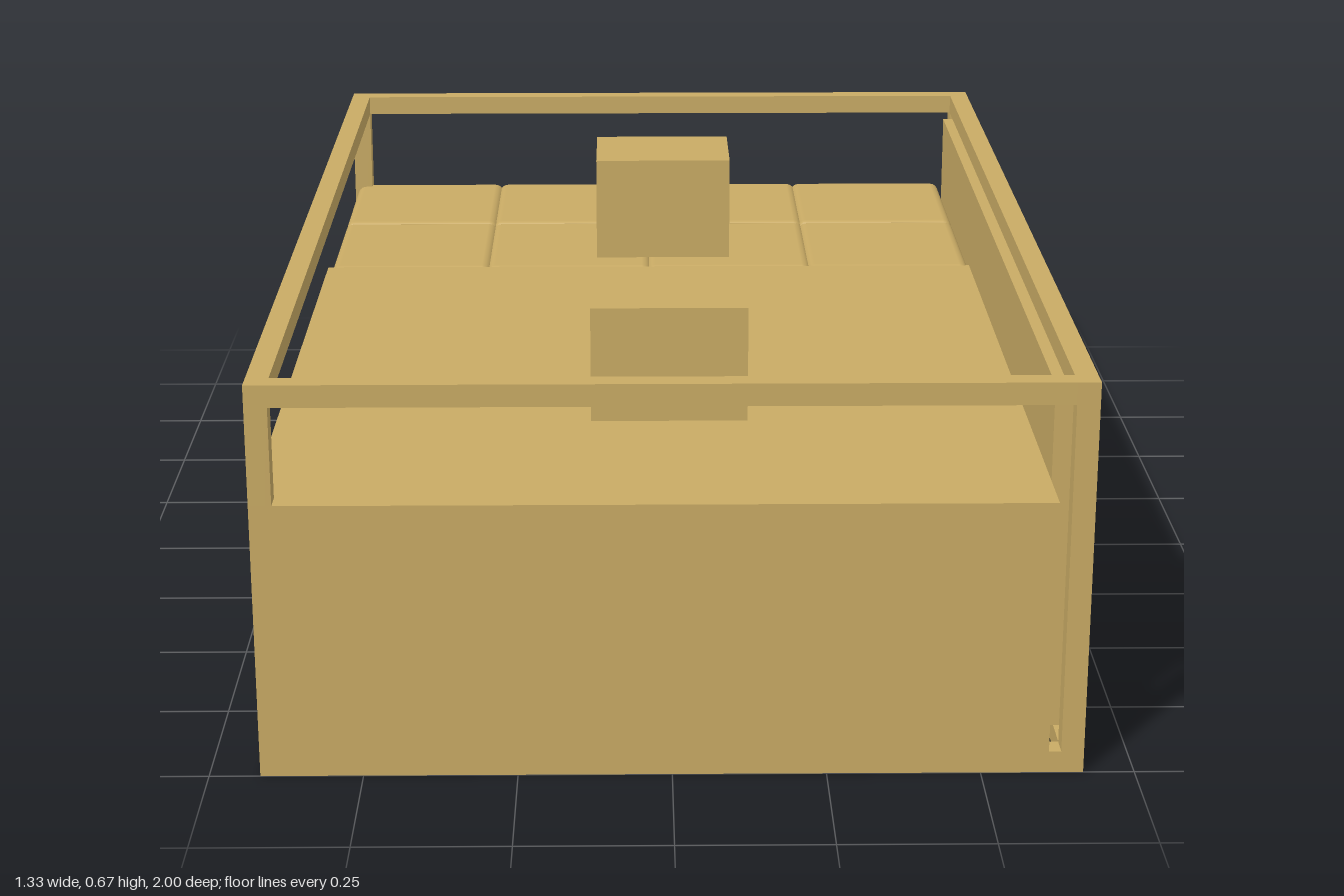
import * as THREE from 'three';
import { RoundedBoxGeometry } from 'three/addons/geometries/RoundedBoxGeometry.js';

export function createModel() {
  const model = new THREE.Group();
  model.name = 'framedCargoBox';
  const tan = new THREE.MeshStandardMaterial({ color: 0xc8aa64 });
  tan.name = 'tan';

  const W = 0.667, H = 0.667, D = 1, T = 0.037;   // half width, height, half depth, beam
  const DECK = 0.467, INNER = 0.61;

  // Box given by its minimum and maximum corners
  function box(name, [x0, y0, z0], [x1, y1, z1], radius = 0) {
    const s = [x1 - x0, y1 - y0, z1 - z0];
    const geo = radius ? new RoundedBoxGeometry(...s, 2, radius) : new THREE.BoxGeometry(...s);
    const mesh = new THREE.Mesh(geo, tan);
    mesh.position.set((x0 + x1) / 2, (y0 + y1) / 2, (z0 + z1) / 2);
    mesh.name = name;
    model.add(mesh);
  }

  // Outer frame: four posts, and beams round the top and bottom
  for (const sx of [-1, 1]) {
    const x0 = sx < 0 ? -W : W - T;
    for (const sz of [-1, 1]) {
      const z0 = sz < 0 ? -D : D - T;
      box('post', [x0, T, z0], [x0 + T, H - T, z0 + T]);
    }
    for (const y of [0, H - T]) box('sideBeam', [x0, y, -D], [x0 + T, y + T, D]);
  }
  for (const sz of [-1, 1]) {
    const z0 = sz < 0 ? -D : D - T;
    for (const y of [0, H - T]) box('endBeam', [-W + T, y, z0], [W - T, y + T, z0 + T]);
  }

  // Solid front body, flush with the frame
  box('body', [-W, 0, -0.335], [INNER, DECK, D]);

  // Full-height wall on the left side, short of the posts
  box('sideWall', [INNER, T, -0.9], [W, H - T, 0.9]);

  // Two rows of four soft-edged crates at the back
  const pitchX = (INNER + W) / 4, pitchZ = 0.333;
  for (let i = 0; i < 4; i++) {
    for (let j = 0; j < 2; j++) {
      const x = -W + i * pitchX, z = -D + j * pitchZ;
      box('crate',
        [i ? x - 0.004 : x + 0.006, 0.001, j ? z - 0.004 : z + 0.006],
        [i < 3 ? x + pitchX + 0.004 : INNER, DECK, z + pitchZ + 0.004], 0.018);
    }
  }

  // Two small blocks standing on the deck
  for (const z of [-0.5, 0.5]) box('deckBlock', [-0.133, DECK, z - 0.1], [0.133, H, z + 0.1]);

  return model;
}
